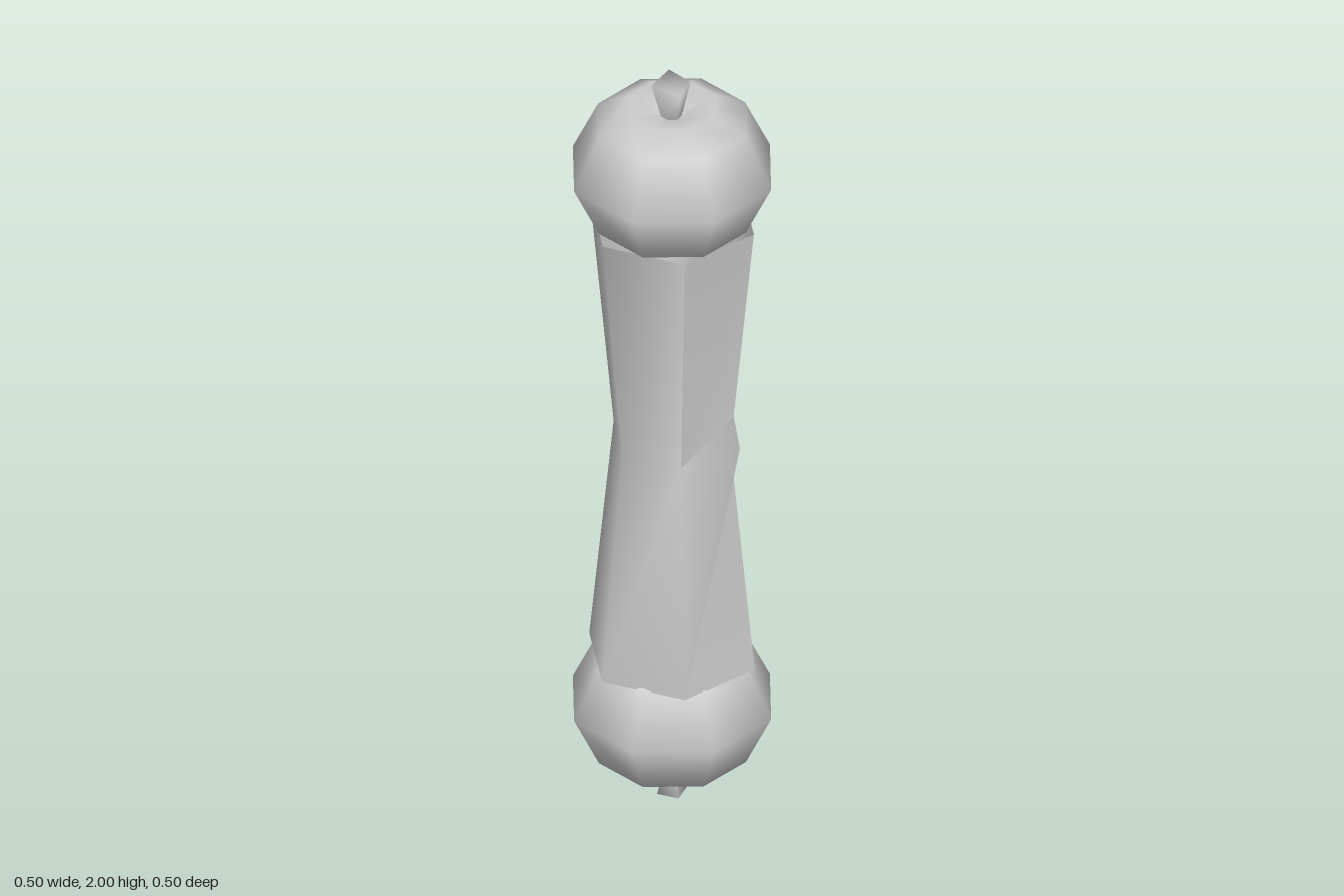
import * as THREE from 'three';

const grey = new THREE.MeshStandardMaterial({ color: 0xcccccc, side: THREE.DoubleSide });
grey.name = 'plain grey';

// Smooth skin over rows of points listed bottom to top; each row runs counterclockwise from above
function loft(rows, closed, capTop) {
  const n = rows[0].length, index = [];
  for (let r = 0; r < rows.length - 1; r++) {
    for (let i = 0; i < (closed ? n : n - 1); i++) {
      const j = (i + 1) % n, a = r * n + i, b = r * n + j;
      index.push(a, b, b + n, a, b + n, a + n);
    }
  }
  if (capTop) {
    const t = (rows.length - 1) * n;
    for (let i = 1; i < n - 1; i++) index.push(t, t + i, t + i + 1);
  }
  const g = new THREE.BufferGeometry();
  g.setAttribute('position', new THREE.Float32BufferAttribute(rows.flat(2), 3));
  g.setIndex(index);
  g.computeVertexNormals();
  return g;
}

function add(parent, geometry, name) {
  const mesh = new THREE.Mesh(geometry, grey);
  mesh.name = name;
  parent.add(mesh);
  return mesh;
}

// Eight-sided bulb with a dimple at its outer end
function bulb() {
  const profile = [[0, -0.17], [0.11, -0.175], [0.185, -0.135], [0.248, 0], [0.185, 0.135], [0.11, 0.175], [0.025, 0.15]];
  return new THREE.LatheGeometry(profile.map(([r, y]) => new THREE.Vector2(r, y)), 8);
}

// Four-sided row of a knot, corners on the axes
const square = (r, y) => [[-r, y, 0], [0, y, r], [r, y, 0], [0, y, -r]];

export function createModel() {
  const model = new THREE.Group();
  model.name = 'tied roll';

  // Bulging ends
  add(model, bulb(), 'topBulb').position.y = 1.745;
  const lower = add(model, bulb(), 'bottomBulb');
  lower.rotation.x = Math.PI;
  lower.position.y = 0.26;

  // Tied tips, flaring outward
  const tip = [[-0.048, 1.982, -0.01], [0, 1.978, 0.052], [0.046, 1.976, 0.002], [0.006, 2, -0.032]];
  add(model, loft([square(0.026, 1.89), tip], true, true), 'topKnot');
  const knot = add(model, loft([square(0.03, -0.11), square(0.022, -0.055), square(0.038, 0)], true, true), 'bottomKnot');
  knot.rotation.x = Math.PI;

  // Waisted six-sided wrapper; its last edge tucks under the first and pokes out at the waist
  const rows = [[0.39, 0.207, 0.06], [1, 0.146, 0.17], [1.61, 0.205, 0.06]].map(([y, r, end]) => {
    const row = [];
    for (let i = 0; i <= 6; i++) {
      const a = Math.PI / 4 + i * Math.PI / 3;
      const d = i === 6 ? end : r;
      row.push([d * Math.sin(a), y, d * Math.cos(a)]);
    }
    return row;
  });
  // Outer closing panel hides the tucked edge
  add(model, loft(rows, false, false), 'wrapper');
  add(model, loft(rows.map((row) => [row[5], row[0]]), false, false), 'wrapperSeam');

  return model;
}
